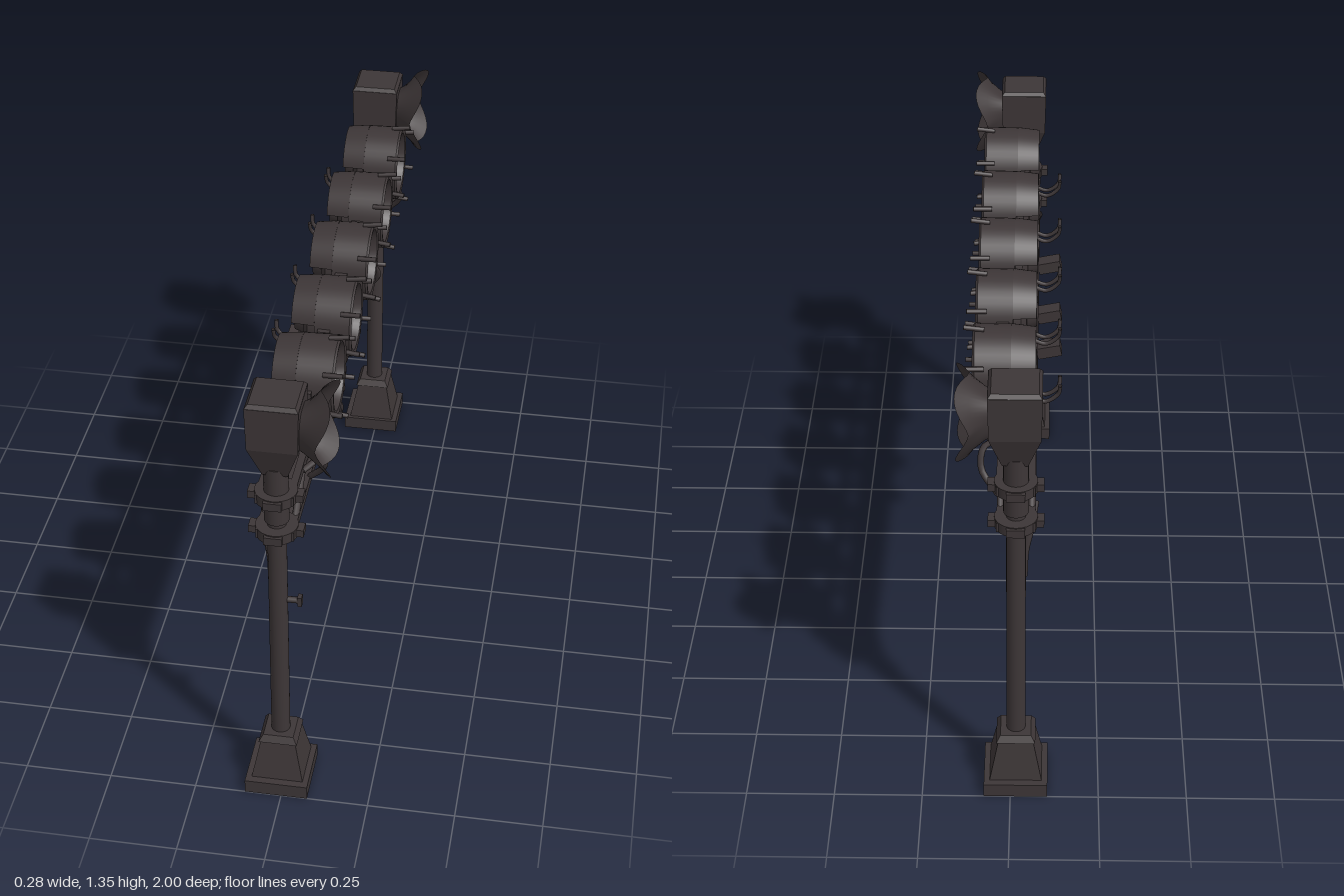
import * as THREE from 'three';

export function createModel() {
  const root = new THREE.Group();
  root.name = 'signalGantry';
  const mat = (name, color, side = THREE.FrontSide) => {
    const m = new THREE.MeshStandardMaterial({ color, side });
    m.name = name;
    return m;
  };
  const metal = mat('dark iron', 0x3d3637, THREE.DoubleSide);
  const darkGlass = mat('dark glass', 0x332e2f);
  const greyGlass = mat('grey glass', 0x9b9a98);
  const redGlass = mat('red glass', 0xdd2c2f);
  const PX = -0.015, PZ = 0.905;

  const add = (parent, name, geo, x = 0, y = 0, z = 0, m = metal) => {
    const mesh = new THREE.Mesh(geo, m);
    mesh.name = name;
    mesh.position.set(x, y, z);
    parent.add(mesh);
    return mesh;
  };
  const group = (name, x = 0, y = 0, z = 0, parent = root) => {
    const g = new THREE.Group();
    g.name = name;
    g.position.set(x, y, z);
    parent.add(g);
    return g;
  };
  const V = (p) => new THREE.Vector3(...p);
  const box = (x, y, z) => new THREE.BoxGeometry(x, y, z);
  const cyl = (a, b, h, n = 20) => new THREE.CylinderGeometry(a, b, h, n);
  // Square frustum with flat faces
  const frustum = (top, bottom, h) => {
    const g = cyl(top * Math.SQRT2, bottom * Math.SQRT2, h, 4).rotateY(Math.PI / 4).toNonIndexed();
    g.computeVertexNormals();
    return g;
  };
  const bar = (parent, name, a, b, r) => {
    const d = V(b).sub(V(a));
    const mesh = add(parent, name, cyl(r, r, d.length(), 8));
    mesh.position.copy(V(a)).addScaledVector(d, 0.5);
    mesh.quaternion.setFromUnitVectors(new THREE.Vector3(0, 1, 0), d.normalize());
  };
  const cable = (parent, name, pts, r = 0.006) =>
    add(parent, name, new THREE.TubeGeometry(new THREE.CatmullRomCurve3(pts.map(V)), 14, r, 6));

  // Flared horn: rounded-square rings whose corners sweep forward
  const hornGeometry = () => {
    const N = 48, rings = [[0.03, 0.045, 0], [0.065, 0.062, 0], [0.088, 0.088, 0.018], [0.105, 0.112, 0.036]];
    const pos = [], index = [];
    rings.forEach(([x, r, sweep], j) => {
      for (let i = 0; i <= N; i++) {
        const a = (i / N) * Math.PI * 2;
        const corner = Math.abs(Math.sin(2 * a)) ** 1.5;
        const rr = r * (1 + 0.13 * corner);
        const low = Math.sin(a) < 0 ? 1 + 0.22 * Math.sin(a) : 1;
        pos.push(x + sweep * corner, Math.sin(a) * rr * 1.1, Math.cos(a) * rr * 0.93 * low);
        if (j && i) {
          const p = j * (N + 1) + i, q = p - N - 1;
          index.push(q - 1, q, p, q - 1, p, p - 1);
        }
      }
    });
    const g = new THREE.BufferGeometry();
    g.setAttribute('position', new THREE.Float32BufferAttribute(pos, 3));
    g.setIndex(index);
    g.computeVertexNormals();
    return g;
  };

  // Posts with stepped feet, collars and horn heads
  for (const s of [1, -1]) {
    const post = group(s > 0 ? 'leftPost' : 'rightPost', PX, 0, s * PZ);
    add(post, 'footPlate', box(0.18, 0.042, 0.18), 0, 0.021, s * 0.005);
    add(post, 'footTaper', frustum(0.048, 0.074, 0.13), 0, 0.105, 0);
    add(post, 'footCap', frustum(0.043, 0.055, 0.02), 0, 0.172, 0);
    add(post, 'pole', cyl(0.026, 0.027, 0.93), 0, 0.63, 0);
    add(post, 'neck', cyl(0.034, 0.034, 0.18), 0, 1.02, 0);
    for (const y of [0.9, 1.015]) {
      add(post, 'collar', cyl(0.058, 0.058, 0.03, 24), 0, y, 0);
      for (const dx of [-0.06, 0.06]) add(post, 'collarBolt', box(0.03, 0.022, 0.035), dx, y, 0);
      add(post, 'collarLug', box(0.05, 0.024, 0.03), 0, y, s * 0.05);
    }
    cable(post, 'poleCable', [[-0.02, 0.7, -s * 0.02], [-0.024, 0.78, -s * 0.025],
      [-0.04, 0.85, -s * 0.045], [-0.05, 0.9, -s * 0.09]], 0.011);

    const head = group('hornHead', 0, 0, -s * 0.01, post);
    add(head, 'headTaper', frustum(0.068, 0.034, 0.1), 0.002, 1.14, 0);
    add(head, 'headBox', frustum(0.071, 0.068, 0.13), 0.002, 1.254, 0);
    add(head, 'headLid', frustum(0.062, 0.071, 0.012), 0.002, 1.324, 0);
    add(head, 'horn', hornGeometry(), 0.015, 1.23, 0);
    add(head, 'hornBulb', new THREE.SphereGeometry(0.034, 20, 14), 0.085, 1.215, 0);
    bar(head, 'hornStem', [0.05, 1.215, 0], [0.085, 1.215, 0], 0.024);
  }
  // Small step peg on one pole
  bar(root, 'stepPeg', [0, 0.655, PZ], [0.05, 0.655, PZ], 0.009);
  add(root, 'stepPegEnd', box(0.012, 0.03, 0.02), 0.045, 0.655, PZ);

  // Box truss
  const truss = group('truss');
  add(truss, 'bottomPlate', box(0.09, 0.016, 1.84), PX, 0.894, 0);
  const steps = 12, span = 1.72;
  for (const x of [-0.057, 0.027]) {
    for (const y of [0.9, 1.015]) add(truss, 'chord', box(0.02, 0.028, 1.88), x, y, 0);
    for (let i = 0; i < steps; i++) {
      const z0 = -span / 2 + (i * span) / steps, z1 = z0 + span / steps;
      const [a, b] = i % 2 ? [1.01, 0.905] : [0.905, 1.01];
      bar(truss, 'diagonal', [x, a, z0], [x, b, z1], 0.01);
    }
  }
  for (let i = 0; i <= steps; i++) {
    const z = -span / 2 + (i * span) / steps;
    bar(truss, 'crossTie', [-0.057, 1.015, z], [0.027, 1.015, z], 0.009);
  }

  // Round lamps facing +x
  const profile = [[0, -0.04], [0.07, -0.036], [0.095, -0.02], [0.1, 0], [0.111, 0.002], [0.113, 0.1],
    [0.108, 0.106], [0.094, 0.104], [0.088, 0.085], [0.084, 0.06], [0, 0.06]].map((p) => new THREE.Vector2(...p));
  // Doubled points keep the rims crisp
  const crisp = profile.flatMap((p) => [p, p.clone().multiplyScalar(0.9995)]);
  const bodyGeo = new THREE.LatheGeometry(crisp, 40).rotateZ(-Math.PI / 2);
  const lensGeo = new THREE.SphereGeometry(0.13, 32, 8, 0, Math.PI * 2, 0, Math.asin(0.079 / 0.13))
    .translate(0, -0.13 * Math.cos(Math.asin(0.079 / 0.13)), 0).rotateZ(-Math.PI / 2);
  const lenses = [darkGlass, greyGlass, redGlass, greyGlass, darkGlass];
  lenses.forEach((glass, i) => {
    const lamp = group('lamp' + (i + 1), 0, 1.195, 0.6 - i * 0.3);
    add(lamp, 'lampBody', bodyGeo);
    add(lamp, 'lens', lensGeo, 0.061, 0, 0, glass);
    // Rear hood over the upper half
    const hood = add(lamp, 'rearHood', new THREE.CylinderGeometry(0.112, 0.104, 0.066, 24, 1, true, -Math.PI * 0.42, Math.PI * 0.84)
      .rotateY(-Math.PI / 2).rotateZ(-Math.PI / 2), -0.031);
    if (new THREE.Box3().setFromObject(hood).max.y < 1e-3) hood.rotation.x = Math.PI;
    add(lamp, 'rearCap', cyl(0.06, 0.05, 0.03, 24).rotateZ(-Math.PI / 2), -0.05);
    // Rim clips
    for (let k = 0; k < 6; k++) {
      const a = Math.PI / 6 + (k * Math.PI) / 3 + 0.45;
      const c = Math.cos(a), d = Math.sin(a);
      bar(lamp, 'rimClip', [0.075, c * 0.115, d * 0.115], [0.13, c * 0.122, d * 0.122], 0.007);
    }
    // Side trunnions
    for (const s of [1, -1]) {
      bar(lamp, 'sidePin', [0.03, 0, s * 0.1], [0.03, 0, s * 0.148], 0.008);
      add(lamp, 'sideBoss', box(0.035, 0.04, 0.02), 0.03, 0, s * 0.115);
    }
    // Mount down to the truss
    add(lamp, 'mount', cyl(0.026, 0.03, 0.09), PX, -0.13, 0);
    add(lamp, 'mountPlate', box(0.1, 0.014, 0.07), PX, -0.162, 0);
    // Curled leads behind
    for (const dz of [-0.018, 0.018]) {
      cable(lamp, 'rearLead', [[-0.04, -0.085, dz], [-0.09, -0.105, dz], [-0.125, -0.08, dz], [-0.13, -0.05, dz * 1.4]]);
    }
    // Hanging leads in front
    cable(lamp, 'frontLead', [[0.06, -0.1, 0.02], [0.075, -0.16, 0.03], [0.06, -0.23, 0.01]]);
    add(lamp, 'leadPlug', new THREE.SphereGeometry(0.014, 10, 8).scale(1, 1.8, 1), 0.06, -0.235, 0.01);
  });

  // Junction boxes and loose cables
  for (const z of [0.37, 0.07, -0.13]) {
    add(root, 'junctionBox', box(0.07, 0.035, 0.05), -0.1, 0.96, z).rotation.z = -0.2;
    bar(root, 'junctionArm', [-0.09, 0.96, z], [-0.05, 0.94, z], 0.012);
  }
  cable(root, 'looseCable', [[0.05, 1.15, 0.215], [0.07, 1.06, 0.19], [0.05, 0.95, 0.165], [0.03, 0.9, 0.15]]);
  cable(root, 'looseCable', [[0.05, 1.2, -0.11], [0.08, 1.12, -0.145], [0.06, 1.0, -0.165], [0.04, 0.92, -0.185]]);
  for (const z of [0.74, 0.47, -0.25, -0.74]) {
    cable(root, 'trussCable', [[0.035, 1.01, z + 0.05], [0.075, 1.02, z], [0.08, 0.97, z - 0.03], [0.035, 0.91, z - 0.06]], 0.009);
  }
  return root;
}
